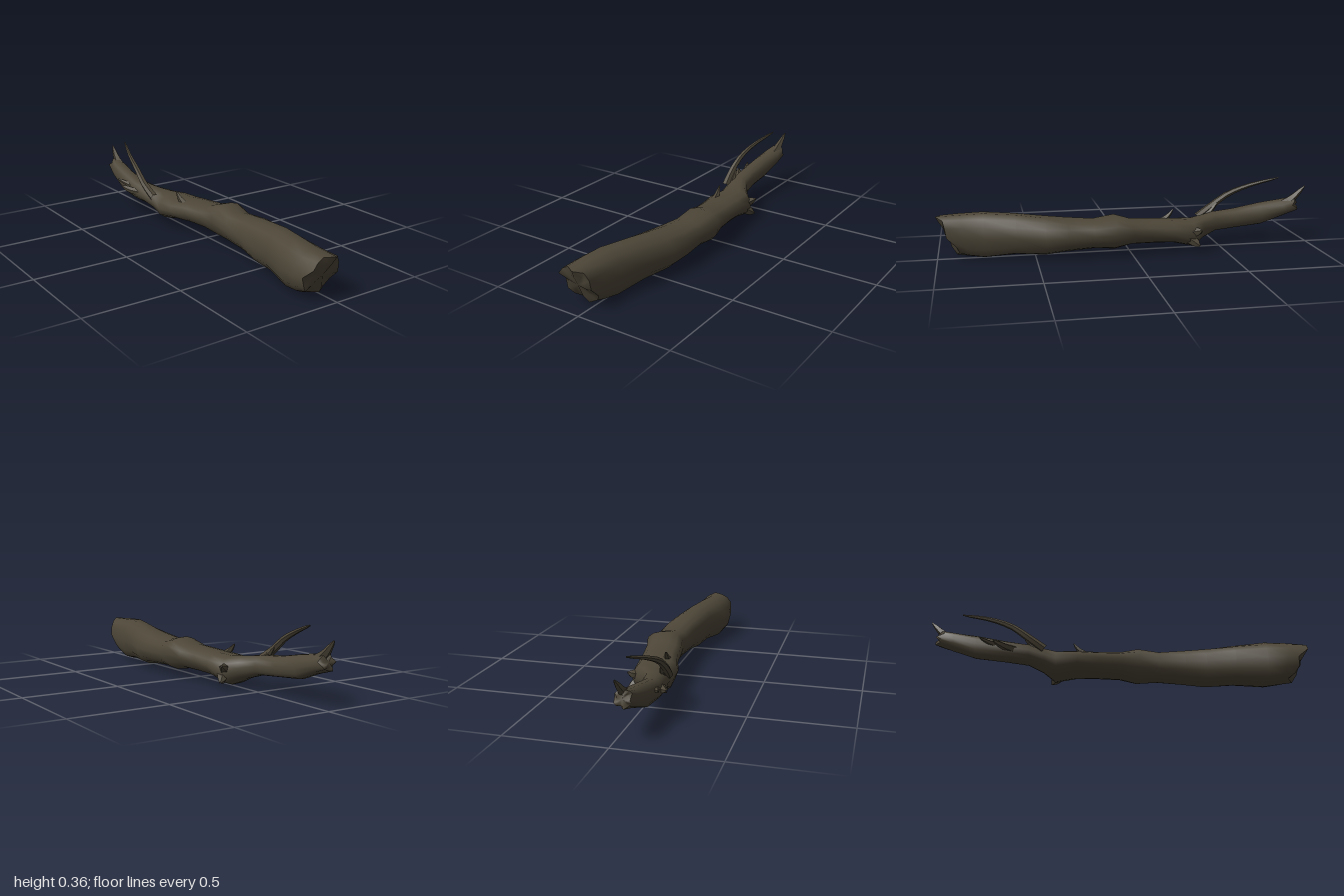
import * as THREE from 'three';
import { mergeVertices, toCreasedNormals } from 'three/addons/utils/BufferGeometryUtils.js';

const bark = new THREE.MeshStandardMaterial({ color: 0x4d4638 });
bark.name = 'dark bark';

// Trunk outline from front to back: z, left/right edge, bottom/top, tilt of the ring
const sections = [
  [0.935, -0.135, 0.05, 0.025, 0.235, 0.5],
  [0.86, -0.143, 0.055, 0.012, 0.238, 0.2],
  [0.76, -0.13, 0.07, 0.002, 0.243, 0],
  [0.6, -0.09, 0.105, 0.022, 0.236, 0],
  [0.45, -0.07, 0.137, 0.018, 0.222, 0],
  [0.34, -0.055, 0.15, 0.035, 0.212, 0],
  [0.2, -0.047, 0.143, 0.045, 0.2, 0],
  [0.09, -0.045, 0.165, 0.042, 0.222, 0],
  [0, -0.057, 0.143, 0.06, 0.192, 0],
  [-0.12, -0.07, 0.128, 0.058, 0.184, 0],
  [-0.23, -0.1, 0.123, 0.052, 0.174, 0],
  [-0.34, -0.1, 0.115, 0.024, 0.172, 0],
  [-0.4, -0.103, 0.06, 0.058, 0.176, 0],
  [-0.48, -0.115, 0.01, 0.083, 0.186, 0],
  [-0.6, -0.122, -0.012, 0.09, 0.195, 0],
  [-0.75, -0.113, -0.012, 0.103, 0.224, 0],
  [-0.87, -0.102, 0.0, 0.148, 0.243, 0],
  [-0.935, -0.085, -0.003, 0.175, 0.255, 0.3],
];
const SIDES = 14;
const soft = (v) => Math.sign(v) * Math.abs(v) ** 0.85;

// One slightly lumpy, squarish ring of the trunk
function ring([z, x0, x1, y0, y1, tilt], end) {
  const pts = [];
  for (let j = 0; j < SIDES; j++) {
    const a = (j / SIDES) * Math.PI * 2;
    const r = 0.975 + 0.035 * Math.sin(3 * a + z * 5) + 0.015 * Math.sin(5 * a - z * 9);
    const dy = ((y1 - y0) / 2) * soft(Math.sin(a)) * r;
    const jag = end ? 0.018 * Math.sin(j * 2.3 + 1) : 0;
    pts.push(new THREE.Vector3(
      (x0 + x1) / 2 + ((x1 - x0) / 2) * soft(Math.cos(a)) * r,
      (y0 + y1) / 2 + dy,
      z + tilt * dy + jag));
  }
  return pts;
}

function makeGeometry(points, index) {
  const g = new THREE.BufferGeometry().setFromPoints(points);
  g.setIndex(index);
  g.computeVertexNormals();
  return g;
}

function trunkGeometry(rings) {
  const index = [];
  for (let i = 0; i < rings.length - 1; i++) {
    for (let j = 0; j < SIDES; j++) {
      const a = i * SIDES + j, b = i * SIDES + ((j + 1) % SIDES);
      index.push(a, a + SIDES, b, b, a + SIDES, b + SIDES);
    }
  }
  return makeGeometry(rings.flat(), index);
}

// Broken end face: rim, an inner ring and a centre, pushed along z
function endGeometry(rim, push, facing) {
  const c = new THREE.Vector3();
  rim.forEach((p) => c.addScaledVector(p, 1 / SIDES));
  const inner = rim.map((p, j) => {
    const q = p.clone().lerp(c, 0.4);
    q.z += push * (1 + 0.6 * Math.sin(j * 1.9));
    return q;
  });
  c.z += push;
  const index = [];
  const tri = (a, b, d) => (facing > 0 ? index.push(a, b, d) : index.push(a, d, b));
  for (let j = 0; j < SIDES; j++) {
    const k = (j + 1) % SIDES;
    tri(j, k, SIDES + j);
    tri(k, SIDES + k, SIDES + j);
    tri(SIDES + j, SIDES + k, 2 * SIDES);
  }
  return makeGeometry([...rim, ...inner, c], index);
}

// Tapering tube that closes in a blunt tip
function twigGeometry(path, r0, r1, steps, sides) {
  const curve = new THREE.CatmullRomCurve3(path.map((p) => new THREE.Vector3(...p)));
  const g = new THREE.TubeGeometry(curve, steps, 1, sides);
  const pos = g.attributes.position, v = new THREE.Vector3();
  for (let i = 0; i <= steps; i++) {
    // the last ring folds shut on the end of the previous one
    const t = i / steps, c = curve.getPointAt(t);
    const r = i === steps ? 0.003 : THREE.MathUtils.lerp(r0, r1, t);
    for (let j = 0; j <= sides; j++) {
      const n = i * (sides + 1) + j;
      v.fromBufferAttribute(pos, n).sub(c).multiplyScalar(r).add(c);
      pos.setXYZ(n, v.x, v.y, v.z);
    }
  }
  g.deleteAttribute('uv');
  g.deleteAttribute('normal');
  return toCreasedNormals(mergeVertices(g), 0.9);
}

export function createModel() {
  const group = new THREE.Group();
  group.name = 'fallenLog';
  const add = (name, geometry) => {
    const mesh = new THREE.Mesh(geometry, bark);
    mesh.name = name;
    group.add(mesh);
  };

  // Trunk with its two broken ends
  const last = sections.length - 1;
  const rings = sections.map((s, i) => ring(s, i === 0 || i === last));
  add('trunk', trunkGeometry(rings));
  add('frontEnd', endGeometry(rings[0], 0.008, 1));
  add('backEnd', endGeometry(rings[last], -0.012, -1));

  // Long thin twig and the spike at the back
  add('longTwig', twigGeometry([[-0.095, 0.15, -0.4], [-0.106, 0.205, -0.48], [-0.1, 0.27, -0.57],
    [-0.08, 0.318, -0.68], [-0.028, 0.368, -0.84]], 0.023, 0.006, 10, 6));
  add('backSpike', twigGeometry([[-0.04, 0.2, -0.86], [-0.037, 0.25, -0.93], [-0.028, 0.318, -0.997]],
    0.034, 0.007, 5, 5));

  // Short snapped-off stubs: path, base radius, tip radius
  const stubs = [
    ['rightStub', [[-0.09, 0.14, -0.54], [-0.125, 0.145, -0.6], [-0.158, 0.163, -0.66]], 0.025, 0.012],
    ['upperRightStub', [[-0.1, 0.16, -0.64], [-0.122, 0.172, -0.69], [-0.14, 0.185, -0.73]], 0.018, 0.006],
    ['topStub', [[-0.03, 0.15, -0.18], [-0.035, 0.178, -0.22], [-0.04, 0.213, -0.25]], 0.022, 0.005],
    ['smallTopStub', [[-0.08, 0.15, -0.44], [-0.085, 0.19, -0.48], [-0.088, 0.226, -0.51]], 0.02, 0.005],
    ['leftStub', [[0.06, 0.1, -0.3], [0.095, 0.115, -0.35], [0.125, 0.13, -0.37]], 0.04, 0.014],
    ['lowerLeftStub', [[0.07, 0.09, -0.3], [0.1, 0.06, -0.34], [0.125, 0.045, -0.36]], 0.035, 0.016],
  ];
  for (const [name, path, r0, r1] of stubs) add(name, twigGeometry(path, r0, r1, 4, 5));

  return group;
}
